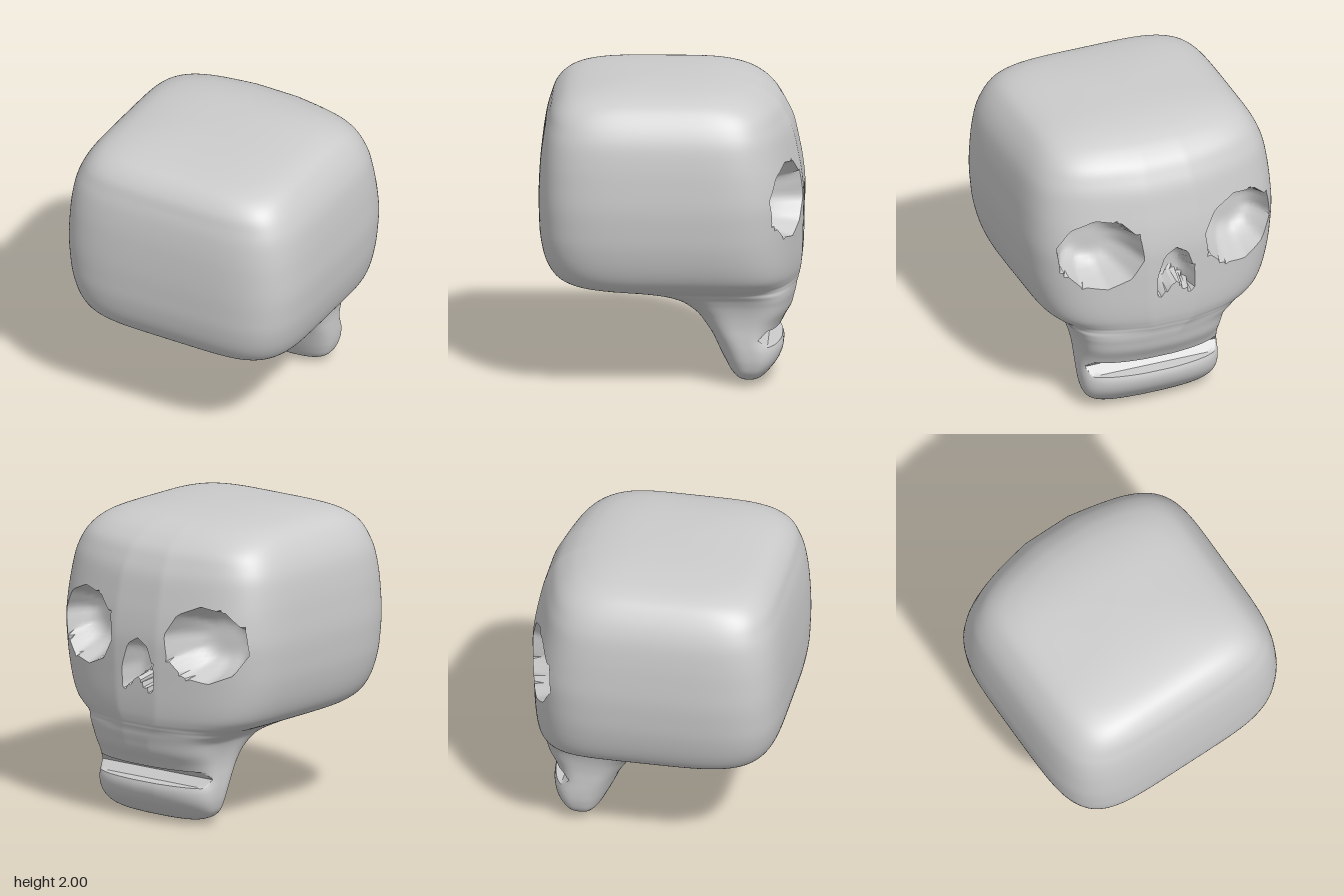
import * as THREE from 'three';
import { toCreasedNormals } from 'three/addons/utils/BufferGeometryUtils.js';

const { smoothstep, clamp } = THREE.MathUtils;

// Horizontal cross-sections: y, half width, z of the cranium end, z of the face end
const SECTIONS = [
  [0, .001, -.499, -.501],
  [.01, .22, -.46, -.55],
  [.035, .36, -.42, -.6],
  [.08, .435, -.38, -.65],
  [.15, .465, -.34, -.705],
  [.23, .475, -.3, -.725],
  [.32, .475, -.26, -.7],
  [.4, .475, -.21, -.73],
  [.48, .485, -.15, -.775],
  [.55, .505, -.06, -.795],
  [.59, .53, .03, -.805],
  [.62, .565, .15, -.81],
  [.64, .59, .3, -.815],
  [.655, .62, .45, -.82],
  [.67, .655, .59, -.823],
  [.695, .7, .69, -.83],
  [.75, .755, .765, -.84],
  [.85, .8, .82, -.848],
  [.99, .835, .85, -.852],
  [1.13, .852, .858, -.856],
  [1.26, .86, .86, -.856],
  [1.4, .855, .855, -.84],
  [1.53, .845, .845, -.815],
  [1.66, .825, .825, -.785],
  [1.75, .795, .8, -.745],
  [1.83, .75, .77, -.695],
  [1.9, .69, .71, -.61],
  [1.94, .62, .64, -.53],
  [1.965, .53, .54, -.45],
  [1.985, .38, .38, -.34],
  [1.996, .2, .2, -.2],
  [2, .001, .001, -.001],
];
const STEPS = 5, AROUND = 248;

// Smooth in-between sections
function smoothSections() {
  const out = [], last = SECTIONS.length - 1;
  for (let i = 0; i < last; i++) {
    const [a, b, c, d] = [-1, 0, 1, 2].map(o => SECTIONS[clamp(i + o, 0, last)]);
    for (let s = 0; s < STEPS; s++) {
      const t = s / STEPS;
      out.push(b.map((v, k) => v + .5 * t * (c[k] - a[k]
        + t * (2 * a[k] - 5 * v + 4 * c[k] - d[k] + t * (3 * (v - c[k]) + d[k] - a[k])))));
    }
  }
  out.push(SECTIONS[last]);
  return out.sort((p, q) => p[0] - q[0]);
}

// Outline of the skull at one height; the jaw is rounder and sits slightly to the left
function sectionAt(rows, y) {
  const i = clamp(rows.findIndex(r => r[0] >= y), 1, rows.length - 1);
  const p = rows[i - 1], q = rows[i], t = (y - p[0]) / (q[0] - p[0] || 1);
  const [, w, back, face] = p.map((v, k) => v + (q[k] - v) * t);
  return {
    w, mid: (back + face) / 2, half: (back - face) / 2,
    cx: .045 * (1 - smoothstep(y, .56, .7)),
    n: 3 + 2 * smoothstep(y, .2, .8) - smoothstep(y, 1.85, 2),
    wedge: .1 + .1 * smoothstep(y, 0, .6) - .08 * smoothstep(y, 1.6, 2),
  };
}

// Hollows in the face: outlines run around their centre
const eyeOutline = Array.from({ length: 10 }, (_, i) => {
  const a = (i + .3) / 10 * Math.PI * 2;
  return [.275 * Math.cos(a), .255 * Math.sin(a)];
});
const noseOutline = [[0, .2], [-.08, .15], [-.13, 0], [-.13, -.16],
  [0, -.06], [.13, -.16], [.13, 0], [.08, .15]];
const HOLLOWS = [
  { x: .47, y: 1.26, outline: eyeOutline, depth: .28, power: 4 },
  { x: -.5, y: 1.26, outline: eyeOutline, depth: .28, power: 4 },
  { x: -.02, y: 1.06, outline: noseOutline, depth: .15, power: 5 },
];

// 0 at the centre of an outline, 1 on its edge
function outlineRatio(outline, x, y) {
  for (let i = 0; i < outline.length; i++) {
    const a = outline[i], b = outline[(i + 1) % outline.length];
    if (a[0] * y - a[1] * x >= 0 && x * b[1] - y * b[0] >= 0) {
      const ex = b[0] - a[0], ey = b[1] - a[1];
      return (x * ey - y * ex) / (a[0] * ey - a[1] * ex);
    }
  }
  return 9;
}

function facePoint(rows, x, y) {
  let press = 0;
  for (const h of HOLLOWS) {
    const dx = x - h.x, dy = y - h.y;
    if (Math.hypot(dx, dy) > .4) continue;
    const s = outlineRatio(h.outline, dx, dy);
    // pull close points onto the rim so that it stays crisp
    if (s > .01 && Math.abs(s - 1) / s * Math.hypot(dx, dy) < .014) {
      x = h.x + dx / s;
      y = h.y + dy / s;
    } else if (s < 1) press = h.depth * (1 - s ** h.power);
  }
  const { cx, w, mid, half, n, wedge } = sectionAt(rows, y);
  const u = Math.min(1, Math.abs(x - cx) / w);
  const curve = (1 - u ** n) ** (1 / n) * (1 - wedge * Math.max(0, u - .2));
  let z = mid - half * curve + press;
  // mouth slit
  if (y > .265 && y < .371) z = Math.max(z, -.57 - .06 * Math.abs(y - .318) / .053);
  return [x, y, z];
}

function skullGeometry() {
  const rows = smoothSections();
  // rings through the mouth sit exactly on its lips
  const ys = rows.map(r => r[0]).filter(y => y < .255 || y > .38)
    .concat([.264, .266, .284, .301, .318, .335, .352, .37, .372])
    .sort((a, b) => a - b);
  const pos = [], index = [];
  ys.forEach((y, i) => {
    const { cx, w, mid, half, n } = sectionAt(rows, y);
    for (let j = 0; j < AROUND; j++) {
      const t = j / AROUND * Math.PI * 2, c = Math.cos(t), s = Math.sin(t);
      const r = (Math.abs(c) ** n + Math.abs(s) ** n) ** (-1 / n);
      const x = cx + w * r * c;
      if (s < 0) pos.push(...facePoint(rows, x, y));
      else pos.push(x, y, mid + half * r * s);
      if (i < ys.length - 1) {
        const a = i * AROUND + j, b = i * AROUND + (j + 1) % AROUND;
        index.push(a, a + AROUND, b, b, a + AROUND, b + AROUND);
      }
    }
  });
  const g = new THREE.BufferGeometry();
  g.setAttribute('position', new THREE.Float32BufferAttribute(pos, 3));
  g.setIndex(index);
  // enlarged while creasing so that fine rings are told apart
  g.scale(30, 30, 30);
  return toCreasedNormals(g, .65).scale(1 / 30, 1 / 30, 1 / 30);
}

export function createModel() {
  const bone = new THREE.MeshStandardMaterial({ color: 0xcccccc });
  bone.name = 'bone';
  const skull = new THREE.Mesh(skullGeometry(), bone);
  skull.name = 'skull';
  const group = new THREE.Group();
  group.name = 'blockySkull';
  group.add(skull);
  return group;
}
